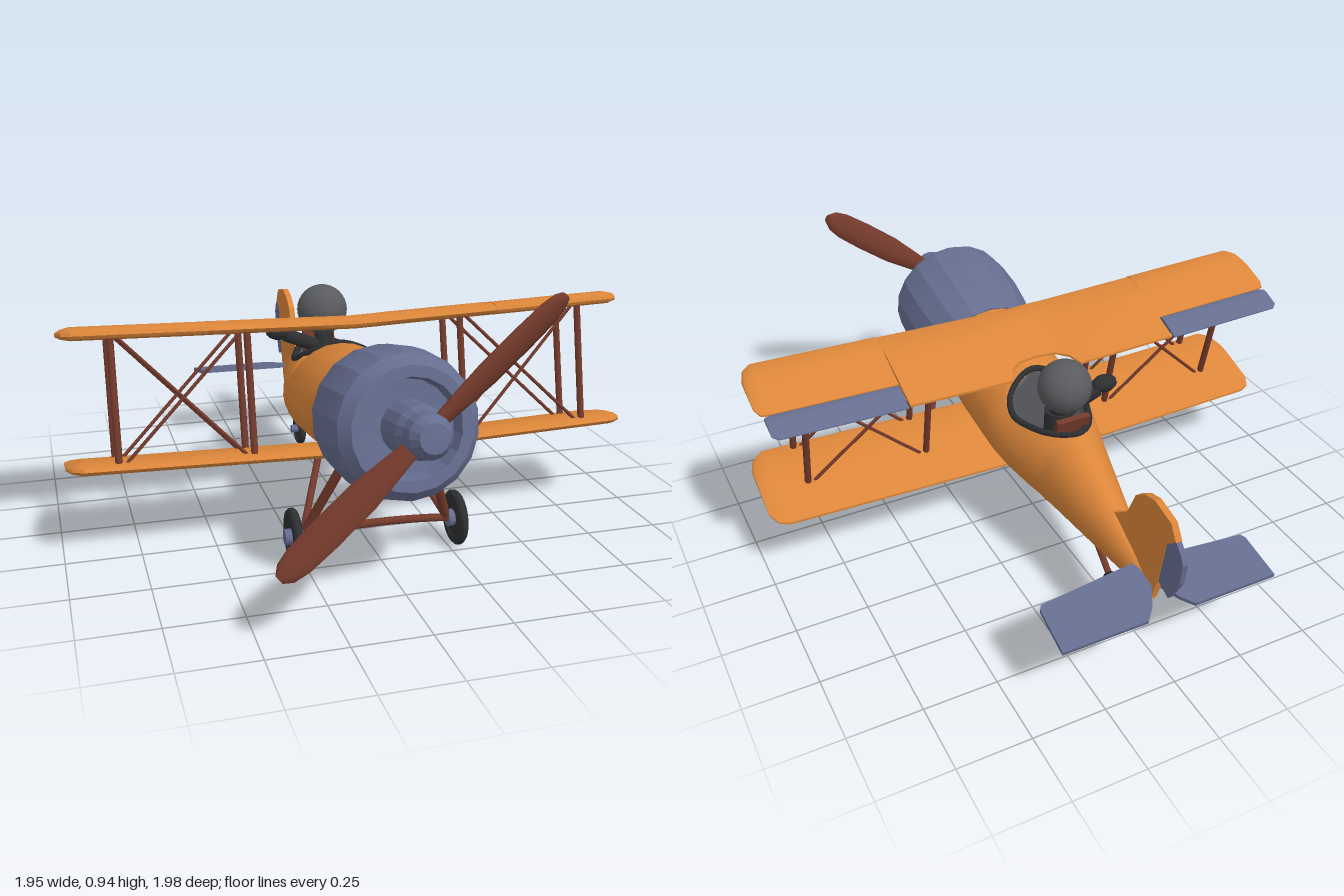
import * as THREE from 'three';
import { toCreasedNormals } from 'three/addons/utils/BufferGeometryUtils.js';

const mat = (name, color) => Object.assign(new THREE.MeshStandardMaterial({ color }), { name });
const V = (x, y, z) => new THREE.Vector3(x, y, z);

export function createModel() {
  const orange = mat('orange', 0xdc863a);
  const slate = mat('slate', 0x666e90);
  const brown = mat('brown', 0x743a2c);
  const black = mat('black', 0x2e2f31);
  const grey = mat('grey', 0x5a5b5e);
  grey.side = THREE.DoubleSide;

  const model = new THREE.Group();
  model.name = 'biplane';
  const add = (name, geo, material, parent = model) => {
    const mesh = new THREE.Mesh(geo, material);
    mesh.name = name;
    parent.add(mesh);
    return mesh;
  };

  // Skin over a row of cross-sections, capped at both ends and facing outward
  function loft(rings, crease = 0.6, closed = true) {
    const n = rings[0].length, m = rings.length, pts = rings.flat(), tris = [];
    for (let i = 0; i < m - 1; i++) {
      for (let j = 0; j < (closed ? n : n - 1); j++) {
        const k = (j + 1) % n, a = i * n, b = a + n;
        tris.push([a + j, a + k, b + k], [a + j, b + k, b + j]);
      }
    }
    for (let j = 1; j < n - 1; j++) {
      const e = (m - 1) * n;
      tris.push([0, j + 1, j], [e, e + j, e + j + 1]);
    }
    const centre = pts.reduce((s, p) => s.add(p), V(0, 0, 0)).divideScalar(pts.length);
    const rel = pts.map((p) => p.clone().sub(centre));
    const volume = tris.reduce((s, [a, b, c]) => s + rel[a].dot(rel[b].clone().cross(rel[c])), 0);
    const geo = new THREE.BufferGeometry().setFromPoints(pts);
    geo.setIndex(tris.flatMap(([a, b, c]) => (volume > 0 ? [a, b, c] : [a, c, b])));
    return toCreasedNormals(geo, crease);
  }

  // Round bar between two points
  function rod(name, a, b, r, material = brown, r2 = r) {
    const d = b.clone().sub(a);
    const mesh = add(name, new THREE.CylinderGeometry(r2, r, d.length(), 8), material);
    mesh.position.copy(a).add(b).multiplyScalar(0.5);
    mesh.quaternion.setFromUnitVectors(V(0, 1, 0), d.normalize());
    return mesh;
  }

  // Flat plate cut from an outline
  const plate = (outline, depth) => new THREE.ExtrudeGeometry(
    new THREE.Shape(outline.map(([x, y]) => new THREE.Vector2(x, y))), { depth, bevelEnabled: false })
    .translate(0, 0, -depth / 2);

  // Fuselage: z, top, bottom, half width, cockpit rim height (where open)
  const stations = [
    [0.5, 0.675, 0.32, 0.175], [0.36, 0.675, 0.285, 0.19], [0.2, 0.645, 0.25, 0.196],
    [0, 0.612, 0.222, 0.193], [-0.05, 0.603, 0.215, 0.19, 0.568], [-0.12, 0.595, 0.208, 0.18, 0.53],
    [-0.2, 0.58, 0.203, 0.16, 0.525], [-0.29, 0.558, 0.2, 0.136, 0.535], [-0.335, 0.543, 0.2, 0.124],
    [-0.6, 0.42, 0.213, 0.068], [-0.75, 0.34, 0.225, 0.035], [-0.85, 0.27, 0.233, 0.012],
  ];
  function section([z, top, bottom, hw, rim], inset = 0) {
    const cy = (top + bottom) / 2, hy = (top - bottom) / 2;
    const half = rim ? Math.acos((cy - rim) / hy) : Math.PI;
    return Array.from({ length: 25 }, (_, i) => {
      const a = half * (i / 12 - 1), keel = 1 - 0.28 * Math.max(0, Math.cos(a)) ** 2;
      return V((hw - inset) * Math.sin(a) * keel, cy - (hy - inset) * Math.cos(a), z);
    });
  }
  add('fuselage', loft(stations.map((s) => section(s)), 0.7, false), orange);

  // Cockpit lining and padded rim
  const cockpit = stations.slice(3, 9);
  add('cockpitLining', loft(cockpit.map((s) => section(s, 0.012)), 0.7, false), grey);
  const rims = cockpit.map((s) => section(s));
  const loop = [...rims.map((r) => r[24]), ...rims.slice(1, -1).reverse().map((r) => r[0])];
  add('cockpitRim', new THREE.TubeGeometry(new THREE.CatmullRomCurve3(loop, true), 48, 0.011, 6, true), black);
  const seat = add('seatBack', new THREE.BoxGeometry(0.12, 0.2, 0.02), brown);
  seat.position.set(0, 0.49, -0.28);
  seat.rotation.x = -0.25;

  // Pilot with one arm raised to the side
  add('pilotHead', new THREE.SphereGeometry(0.092, 24, 16), grey).position.set(0, 0.677, -0.24);
  rod('pilotTorso', V(0, 0.34, -0.2), V(0, 0.56, -0.2), 0.06, black, 0.05);
  rod('pilotNeck', V(0, 0.52, -0.19), V(0, 0.62, -0.23), 0.035, black);
  rod('pilotArm', V(-0.03, 0.55, -0.2), V(-0.15, 0.6, -0.2), 0.025, black);
  add('pilotHand', new THREE.SphereGeometry(0.032, 12, 8).scale(1.5, 1, 1), black).position.set(-0.175, 0.615, -0.2);

  // Engine cowling, nose and propeller, tilted along the thrust line
  const engine = new THREE.Group();
  engine.name = 'engine';
  engine.position.set(0, 0.485, 0.385);
  engine.rotation.x = Math.PI / 2 - 0.19;
  model.add(engine);
  const lathe = (profile, sides) => toCreasedNormals(
    new THREE.LatheGeometry(profile.map(([r, t]) => new THREE.Vector2(r, t)), sides), 0.3);
  add('cowling', lathe([[0, 0], [0.197, 0], [0.225, 0.09], [0.235, 0.2], [0.233, 0.31], [0.222, 0.37],
    [0.19, 0.41], [0.155, 0.41], [0.145, 0.36], [0, 0.35]], 18), slate, engine);
  add('noseHub', lathe([[0.085, 0.34], [0.082, 0.48], [0.07, 0.51], [0.067, 0.56], [0.045, 0.592], [0, 0.595]], 16),
    slate, engine);
  for (const phi of [0.685, 0.685 + Math.PI]) {
    const out = V(Math.cos(phi), 0, -Math.sin(phi)), perp = V(-Math.sin(phi), 0, -Math.cos(phi));
    const blade = [[0.04, 0.05], [0.12, 0.07], [0.25, 0.098], [0.4, 0.1], [0.5, 0.092], [0.55, 0.07], [0.575, 0.03]]
      .map(([r, w]) => Array.from({ length: 10 }, (_, k) => {
        const a = k * Math.PI / 5, pitch = 0.5;
        const u = w / 2 * Math.cos(a), v = (0.012 + w * 0.06) * Math.sin(a);
        return out.clone().multiplyScalar(r)
          .addScaledVector(perp, u * Math.cos(pitch) - v * Math.sin(pitch))
          .add(V(0, 0.515 + u * Math.sin(pitch) + v * Math.cos(pitch), 0));
      }));
    add('propellerBlade', loft(blade, 0.8), brown, engine);
  }

  // Wings: sections of x, leading edge z, trailing edge z, thickness
  const upperY = (x, z) => 0.685 + 0.028 * Math.abs(x) + 0.24 * z;
  const lowerY = (x, z) => 0.24 + 0.028 * Math.abs(x) + 0.25 * z;
  const foil = [[0, -0.1], [0.03, 0.35], [0.12, 0.75], [0.35, 0.9], [0.7, 0.5], [1, 0.12],
    [1, -0.15], [0.5, -0.4], [0.1, -0.6], [0.02, -0.4]];
  const wingRing = (height) => ([x, le, te, t]) => foil.map(([c, h]) => {
    const z = le + (te - le) * c;
    return V(x, height(x, z) + h * t, z);
  });
  const mirrored = (half) => [...half.filter((s) => s[0] > 0).reverse().map(([x, ...r]) => [-x, ...r]), ...half];
  const T = 0.03;
  add('upperWing', loft(mirrored([
    [0, 0.217, -0.03, T], [0.07, 0.217, -0.04, T], [0.11, 0.217, -0.07, T], [0.13, 0.217, -0.115, T],
    [0.499, 0.217, -0.115, T], [0.5, 0.217, -0.015, T], [0.93, 0.217, -0.015, T],
    [0.96, 0.195, -0.01, T * 0.7], [0.975, 0.15, 0.02, T * 0.3],
  ]).map(wingRing(upperY))), orange);
  add('lowerWing', loft(mirrored([
    [0, 0.317, -0.015, T], [0.92, 0.317, -0.015, T], [0.955, 0.29, 0.0, T * 0.7], [0.975, 0.24, 0.04, T * 0.3],
  ]).map(wingRing(lowerY))), orange);

  for (const s of [-1, 1]) {
    // Aileron
    add('aileron', loft([[0.506, -0.018, -0.122, 0.016], [0.935, -0.018, -0.122, 0.016], [0.955, -0.025, -0.105, 0.01]]
      .map(([x, ...r]) => wingRing(upperY)([s * x, ...r]))), slate);

    // Wing struts and crossed wires, front and rear
    for (const [zt, zb] of [[0.195, 0.285], [0.03, 0.125]]) {
      const top = (x) => V(s * x, upperY(x, zt), zt), low = (x) => V(s * x, lowerY(x, zb), zb);
      for (const x of [0.37, 0.81]) rod('wingStrut', low(x), top(x), 0.012);
      rod('braceWire', low(0.38), top(0.8), 0.006);
      rod('braceWire', low(0.8), top(0.38), 0.006);
    }

    // Main wheel and its legs
    wheel('mainWheel', s * 0.28, 0.1, 0.44, 0.093, 0.028);
    const hub = add('wheelHub', new THREE.CylinderGeometry(0.026, 0.03, 0.06, 10), slate);
    hub.rotation.z = -s * Math.PI / 2;
    hub.position.set(s * 0.28, 0.1, 0.44);
    rod('frontLeg', V(s * 0.245, 0.11, 0.44), V(s * 0.15, 0.36, 0.54), 0.016);
    rod('rearLeg', V(s * 0.245, 0.11, 0.43), V(s * 0.14, 0.32, 0.25), 0.012);

    // Tailplane half
    const tail = add('tailplane', plate([[0.015, -0.09], [0.365, -0.057], [0.375, -0.04], [0.38, 0.12],
      [0.085, 0.12], [0.05, 0.08], [0.012, 0.01]].map(([x, y]) => [s * x, y]), 0.014), slate);
    tail.position.set(0, 0.291, -0.84);
    tail.rotation.x = -Math.PI / 2 - 0.22;
  }

  function wheel(name, x, y, z, r, w) {
    const h = w / 2;
    const mesh = add(name, toCreasedNormals(new THREE.LatheGeometry(
      [[0, -h * 0.6], [r * 0.65, -h * 0.6], [r * 0.72, -h], [r * 0.92, -h], [r, -h * 0.4], [r, h * 0.4],
        [r * 0.92, h], [r * 0.72, h], [r * 0.65, h * 0.6], [0, h * 0.6]].map((p) => new THREE.Vector2(...p)), 24), 0.5), black);
    mesh.rotation.z = Math.PI / 2;
    mesh.position.set(x, y, z);
  }

  // Axle, slightly bowed
  add('axle', new THREE.TubeGeometry(new THREE.QuadraticBezierCurve3(
    V(-0.28, 0.1, 0.44), V(0, 0.13, 0.44), V(0.28, 0.1, 0.44)), 12, 0.014, 8), brown);

  // Tail wheel
  wheel('tailWheel', 0, 0.078, -0.615, 0.064, 0.026);
  rod('tailWheelLeg', V(0, 0.085, -0.615), V(0, 0.215, -0.46), 0.012);
  const pin = add('tailWheelPin', new THREE.CylinderGeometry(0.016, 0.016, 0.07, 10), slate);
  pin.rotation.z = Math.PI / 2;
  pin.position.set(0, 0.078, -0.615);

  // Fin and rudder, outlined as distance aft and height
  add('fin', plate([[0.58, 0.4], [0.63, 0.425], [0.685, 0.47], [0.727, 0.565], [0.78, 0.604], [0.834, 0.62],
    [0.925, 0.6], [0.957, 0.55], [0.91, 0.512], [0.88, 0.338], [0.847, 0.236], [0.7, 0.25]], 0.022)
    .rotateY(Math.PI / 2), orange);
  add('rudder', plate([[0.91, 0.512], [0.957, 0.55], [0.985, 0.52], [1, 0.49], [0.988, 0.41], [0.938, 0.315],
    [0.88, 0.338]], 0.018).rotateY(Math.PI / 2), slate);

  return model;
}
